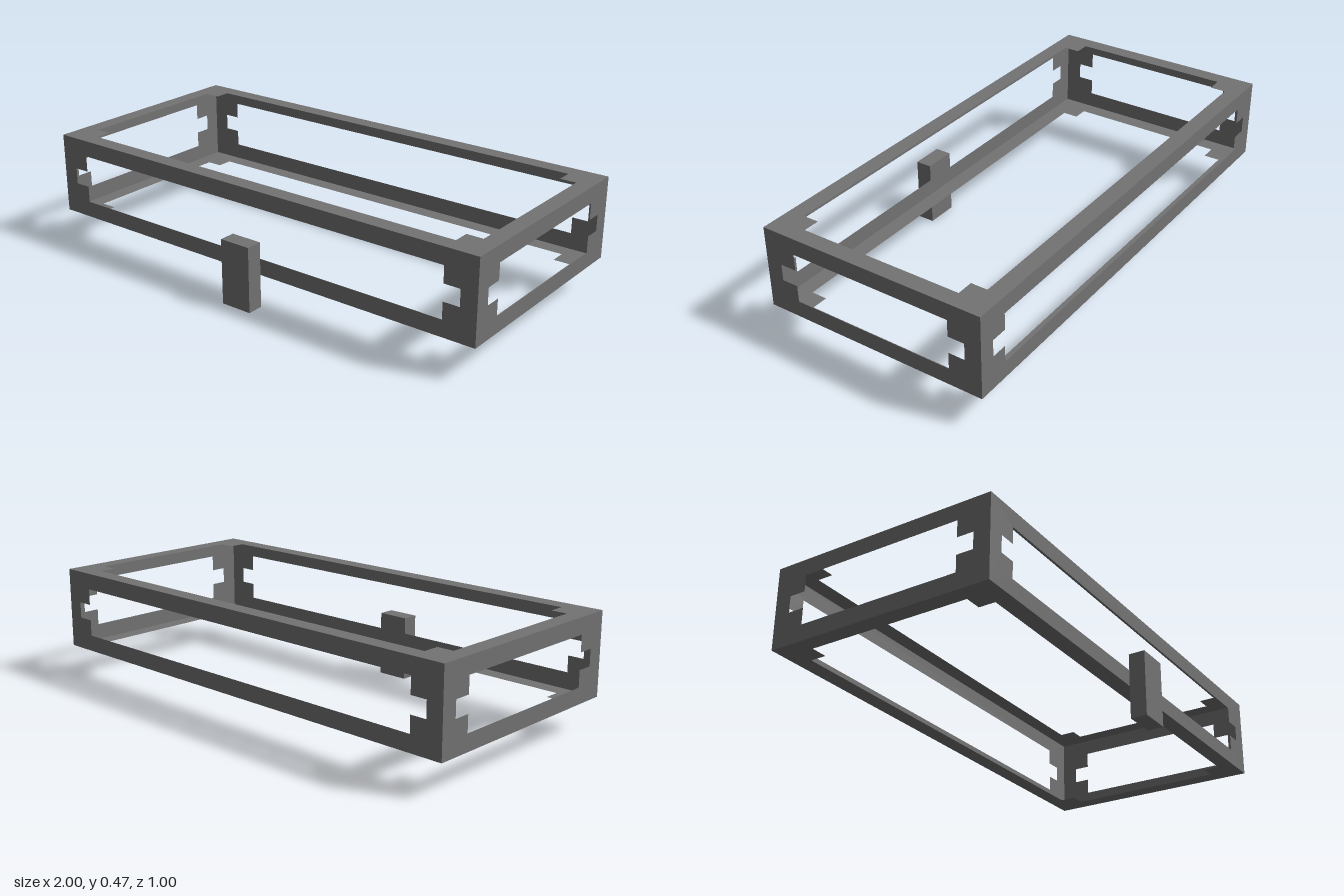
import * as THREE from 'three';

const U = 1 / 15; // one grid cell of the design

// Flat rectangular panel with a stepped opening: one-cell border plus a one-cell block in each corner
function framePanel(w, h) {
  const a = (w / 2) * U, b = (h / 2) * U;
  const shape = new THREE.Shape([
    new THREE.Vector2(-a, -b), new THREE.Vector2(a, -b),
    new THREE.Vector2(a, b), new THREE.Vector2(-a, b),
  ]);
  const p = a - U, q = b - U, p2 = p - U, q2 = q - U;
  const opening = [
    [p2, -q], [p2, -q2], [p, -q2], [p, q2], [p2, q2], [p2, q],
    [-p2, q], [-p2, q2], [-p, q2], [-p, -q2], [-p2, -q2], [-p2, -q],
  ].map(([x, y]) => new THREE.Vector2(x, y));
  shape.holes.push(new THREE.Path(opening));
  return new THREE.ShapeGeometry(shape);
}

export function createModel() {
  const group = new THREE.Group();
  group.name = 'openFrameChest';
  const grey = new THREE.MeshStandardMaterial({ color: 0x737373, side: THREE.DoubleSide });
  grey.name = 'grey';

  const W = 30, H = 5, D = 14; // frame size in cells
  const cy = 4.5 * U, cz = -0.5 * U; // frame centre

  // Six open panels, each turned to face outward
  const panels = [
    ['frontPanel', W, H, [0, 0, D / 2], [0, 0, 0]],
    ['backPanel', W, H, [0, 0, -D / 2], [0, Math.PI, 0]],
    ['leftPanel', D, H, [W / 2, 0, 0], [0, Math.PI / 2, 0]],
    ['rightPanel', D, H, [-W / 2, 0, 0], [0, -Math.PI / 2, 0]],
    ['topPanel', W, D, [0, H / 2, 0], [-Math.PI / 2, 0, 0]],
    ['bottomPanel', W, D, [0, -H / 2, 0], [Math.PI / 2, 0, 0]],
  ];
  for (const [name, w, h, [x, y, z], rotation] of panels) {
    const mesh = new THREE.Mesh(framePanel(w, h), grey);
    mesh.name = name;
    mesh.position.set(x * U, cy + y * U, cz + z * U);
    mesh.rotation.set(...rotation);
    group.add(mesh);
  }

  // Solid latch on the front, hanging below the frame
  const latch = new THREE.Mesh(new THREE.BoxGeometry(2 * U, 4 * U, U), grey);
  latch.name = 'latch';
  latch.position.set(0, 2 * U, 7 * U);
  group.add(latch);

  return group;
}
